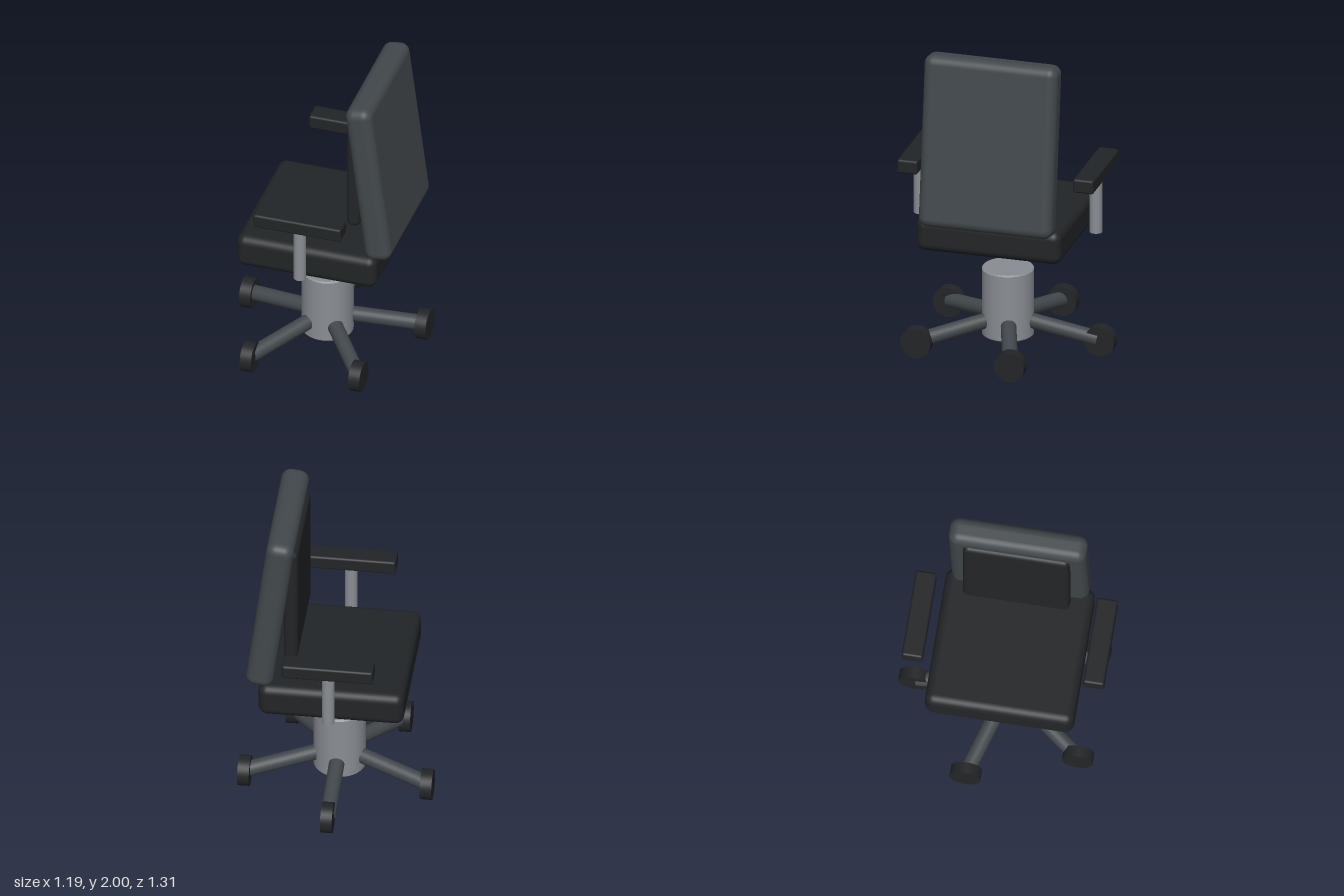
import * as THREE from 'three';
import { RoundedBoxGeometry } from 'three/addons/geometries/RoundedBoxGeometry.js';

const Z0 = 0.03; // centre line of the chair, which faces -x

const black = new THREE.MeshStandardMaterial({ color: 0x222527 });
const charcoal = new THREE.MeshStandardMaterial({ color: 0x42484c });
const metal = new THREE.MeshStandardMaterial({ color: 0x8a8e94 });

function add(parent, name, geometry, material, x, y, z) {
  const mesh = new THREE.Mesh(geometry, material);
  mesh.name = name;
  mesh.position.set(x, y, z);
  parent.add(mesh);
  return mesh;
}

// Cylinder running between two points
function rod(parent, name, a, b, radius, material) {
  const geometry = new THREE.CylinderGeometry(radius, radius, a.distanceTo(b), 24);
  const mid = a.clone().lerp(b, 0.5);
  const mesh = add(parent, name, geometry, material, mid.x, mid.y, mid.z);
  mesh.quaternion.setFromUnitVectors(new THREE.Vector3(0, 1, 0), b.clone().sub(a).normalize());
  return mesh;
}

export function createModel() {
  const chair = new THREE.Group();
  chair.name = 'officeChair';

  // Seat cushion
  add(chair, 'seat', new RoundedBoxGeometry(0.895, 0.215, 0.92, 5, 0.055), black, 0, 0.8375, Z0);

  // Leaning backrest with an upright pad in front of it
  const back = add(chair, 'backrest', new RoundedBoxGeometry(0.17, 1.09, 0.85, 5, 0.06), charcoal, 0.382, 1.455, Z0);
  back.rotation.z = 0.127;
  add(chair, 'backPad', new RoundedBoxGeometry(0.087, 0.81, 0.66, 4, 0.035), black, 0.262, 1.485, Z0);

  // Armrests on posts, one each side
  for (const side of [-1, 1]) {
    const arm = new THREE.Group();
    arm.name = side > 0 ? 'leftArm' : 'rightArm';
    arm.position.z = Z0 + side * 0.56;
    add(arm, 'armrest', new RoundedBoxGeometry(0.56, 0.09, 0.13, 3, 0.015), black, 0, 1.205, 0);
    add(arm, 'armPost', new THREE.CylinderGeometry(0.039, 0.039, 0.37, 24), metal, 0, 0.99, 0);
    chair.add(arm);
  }

  // Central column with softened rims
  const rim = 0.008;
  const profile = [[0, 0.072], [0.16 - rim, 0.072], [0.16, 0.072 + rim], [0.16, 0.51 - rim], [0.16 - rim, 0.51], [0, 0.51]];
  // split the profile into separate lathes so the edges stay crisp
  const column = new THREE.Group();
  column.name = 'column';
  for (let i = 0; i < profile.length - 1; i++) {
    const pts = [profile[i], profile[i + 1]].map(([r, y]) => new THREE.Vector2(r, y));
    add(column, 'columnSurface', new THREE.LatheGeometry(pts, 40), metal, 0, 0, Z0);
  }
  chair.add(column);

  // Five sloping legs, each ending in a wheel with its axle along x
  for (let i = 0; i < 5; i++) {
    const angle = -Math.PI / 2 + (i * 2 * Math.PI) / 5;
    const at = (r, y) => new THREE.Vector3(r * Math.cos(angle), y, Z0 + r * Math.sin(angle));
    rod(chair, 'leg', at(0.06, 0.188), at(0.575, 0.103), 0.048, charcoal);
    const hub = at(0.59, 0.095);
    const wheel = add(chair, 'wheel', new THREE.CylinderGeometry(0.095, 0.095, 0.072, 32), black, hub.x, hub.y, hub.z);
    wheel.rotation.z = Math.PI / 2;
  }

  return chair;
}
